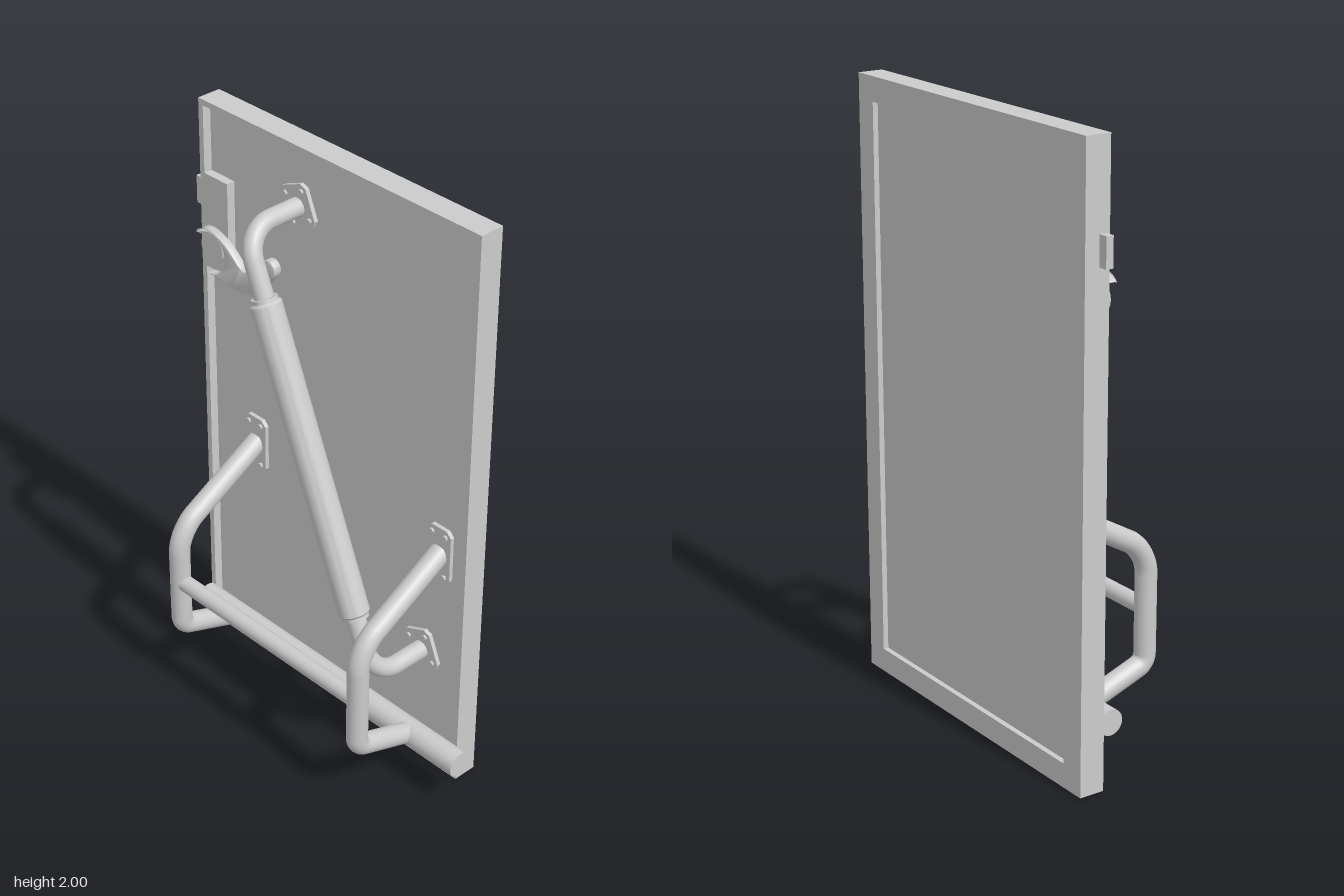
import * as THREE from 'three';
import { mergeVertices, toCreasedNormals } from 'three/addons/utils/BufferGeometryUtils.js';

const material = new THREE.MeshStandardMaterial({ color: 0xcccccc, side: THREE.DoubleSide });
const V = (x, y, z) => new THREE.Vector3(x, y, z);

// Door faces, all in (u = -z, y)
const DOOR = { u0: -0.56, u1: 0.625, y0: 0, y1: 2 };
const INNER_X = 0.165;

function add(group, name, geometry, x = 0, y = 0, z = 0) {
  const mesh = new THREE.Mesh(geometry, material);
  mesh.name = name;
  mesh.position.set(x, y, z);
  group.add(mesh);
  return mesh;
}

function rect(u0, u1, y0, y1, Type = THREE.Shape) {
  return new Type([[u0, y0], [u1, y0], [u1, y1], [u0, y1]].map(p => new THREE.Vector2(...p)));
}

// Extrude a (-z, y) outline along +x, starting at x = 0
function slab(shape, depth, bevel = 0) {
  const g = new THREE.ExtrudeGeometry(shape, {
    depth: depth - 2 * bevel, curveSegments: 16, bevelEnabled: bevel > 0,
    bevelThickness: bevel, bevelSize: bevel, bevelOffset: -bevel, bevelSegments: 2,
  });
  return toCreasedNormals(g.translate(0, 0, bevel).rotateY(Math.PI / 2), 0.6);
}

// Rectangular border with an inner opening
function border(l, r, b, t, depth) {
  const s = rect(DOOR.u0, DOOR.u1, DOOR.y0, DOOR.y1);
  s.holes.push(rect(DOOR.u0 + l, DOOR.u1 - r, DOOR.y0 + b, DOOR.y1 - t, THREE.Path));
  return slab(s, depth);
}

// Bent pipe through corner points, with rounded bends
function pipe(points, radius, bends) {
  const path = new THREE.CurvePath();
  let from = points[0];
  for (let i = 1; i < points.length - 1; i++) {
    const c = points[i], d = bends[i - 1];
    const a = c.clone().add(points[i - 1].clone().sub(c).setLength(d));
    const b = c.clone().add(points[i + 1].clone().sub(c).setLength(d));
    path.add(new THREE.LineCurve3(from, a));
    path.add(new THREE.CubicBezierCurve3(a, a.clone().lerp(c, 0.56), b.clone().lerp(c, 0.56), b));
    from = b;
  }
  path.add(new THREE.LineCurve3(from, points[points.length - 1]));
  return new THREE.TubeGeometry(path, 120, radius, 20);
}

// Bolted mounting plate on the inner panel
function flange(group, name, y, z, w, h, tilt) {
  const f = new THREE.Group();
  f.name = name;
  const c = 0.018, a = w / 2, b = h / 2;
  const s = new THREE.Shape([[-a + c, -b], [a - c, -b], [a, -b + c], [a, b - c],
    [a - c, b], [-a + c, b], [-a, b - c], [-a, -b + c]].map(p => new THREE.Vector2(...p)));
  add(f, 'flangePlate', slab(s, 0.014), -0.014);
  for (const su of [-1, 1]) for (const sv of [-1, 1]) {
    add(f, 'flangeBolt', new THREE.CylinderGeometry(0.01, 0.01, 0.01, 6).rotateZ(Math.PI / 2),
      -0.017, sv * (b - 0.024), su * (a - 0.022));
  }
  f.position.set(INNER_X, y, z);
  f.rotation.x = tilt;
  group.add(f);
}

export function createModel() {
  const model = new THREE.Group();
  model.name = 'door';

  // Door leaf: core panel, thin inner rim and wide outer frame
  const leaf = new THREE.Group();
  leaf.name = 'doorLeaf';
  model.add(leaf);
  add(leaf, 'corePanel', slab(rect(DOOR.u0, DOOR.u1, DOOR.y0, DOOR.y1), 0.037), INNER_X);
  add(leaf, 'innerRim', border(0.02, 0.02, 0.02, 0.02, 0.03), 0.135);
  add(leaf, 'outerFrame', border(0.08, 0.085, 0.08, 0.08, 0.018), 0.202);

  // Slanted grab handle with a thicker sleeve
  const handle = new THREE.Group();
  handle.name = 'grabHandle';
  model.add(handle);
  const top = V(-0.06, 1.785, -0.2), bottom = V(-0.06, 0.42, 0.37);
  add(handle, 'handlePipe', pipe([V(INNER_X, top.y, top.z), top, bottom, V(INNER_X, bottom.y, bottom.z)],
    0.031, [0.1, 0.1]));
  const axis = top.clone().sub(bottom);
  const tilt = Math.atan2(axis.z, axis.y);
  const L = 0.53;
  const profile = [[0.029, -L], [0.042, -L], [0.042, -L + 0.012], [0.05, -L + 0.02],
    [0.05, L - 0.02], [0.042, L - 0.012], [0.042, L], [0.029, L]];
  const sleeve = new THREE.LatheGeometry(profile.map(p => new THREE.Vector2(...p)), 28);
  const mid = bottom.clone().lerp(top, 0.5);
  add(handle, 'handleSleeve', toCreasedNormals(sleeve, 0.5), mid.x, mid.y, mid.z).rotation.x = tilt;
  for (const p of [top, bottom]) flange(handle, 'handleFlange', p.y, p.z, 0.12, 0.14, tilt);

  // Lower guard: two bent side pipes, a cross rail and a bottom bar
  const guard = new THREE.Group();
  guard.name = 'lowerGuard';
  model.add(guard);
  for (const z of [-0.405, 0.43]) {
    add(guard, 'guardPipe', pipe([V(INNER_X, 0.835, z), V(-0.187, 0.635, z), V(-0.187, 0.258, z),
      V(0.05, 0.172, z)], 0.035, [0.08, 0.03]));
    flange(guard, 'guardFlange', 0.83, z, 0.1, 0.2, 0);
  }
  const rod = (r, len) => new THREE.CylinderGeometry(r, r, len, 28).rotateX(Math.PI / 2);
  add(guard, 'crossRail', rod(0.028, 0.835), -0.187, 0.44, 0.0125);
  add(guard, 'bottomBar', rod(0.043, 1.2), 0.052, 0.172, 0.05);

  // Latch: lock plate, hub, curved lever and bolt on the door edge
  const latch = new THREE.Group();
  latch.name = 'latch';
  model.add(latch);
  add(latch, 'lockPlate', new THREE.BoxGeometry(0.03, 0.33, 0.11), 0.15, 1.585, -0.555);
  add(latch, 'leverHub', new THREE.CylinderGeometry(0.05, 0.05, 0.06, 24).rotateZ(Math.PI / 2),
    0.14, 1.515, -0.55);
  const lever = new THREE.Shape();
  lever.absarc(0, 0, 0.075, Math.PI * 0.25, Math.PI * 1.5, false);
  lever.bezierCurveTo(-0.06, -0.085, -0.17, -0.1, -0.21, -0.065);
  lever.bezierCurveTo(-0.25, -0.04, -0.27, 0, -0.3, 0.03);
  lever.bezierCurveTo(-0.325, 0.075, -0.27, 0.1, -0.25, 0.065);
  lever.bezierCurveTo(-0.22, 0.03, -0.2, 0, -0.165, -0.005);
  lever.bezierCurveTo(-0.13, -0.005, -0.1, 0.075, 0, 0.075);
  add(latch, 'lever', slab(lever, 0.03, 0.004), 0.09, 1.512, -0.545);
  add(latch, 'bolt', new THREE.BoxGeometry(0.025, 0.095, 0.06), 0.158, 1.672, -0.626);

  return model;
}
